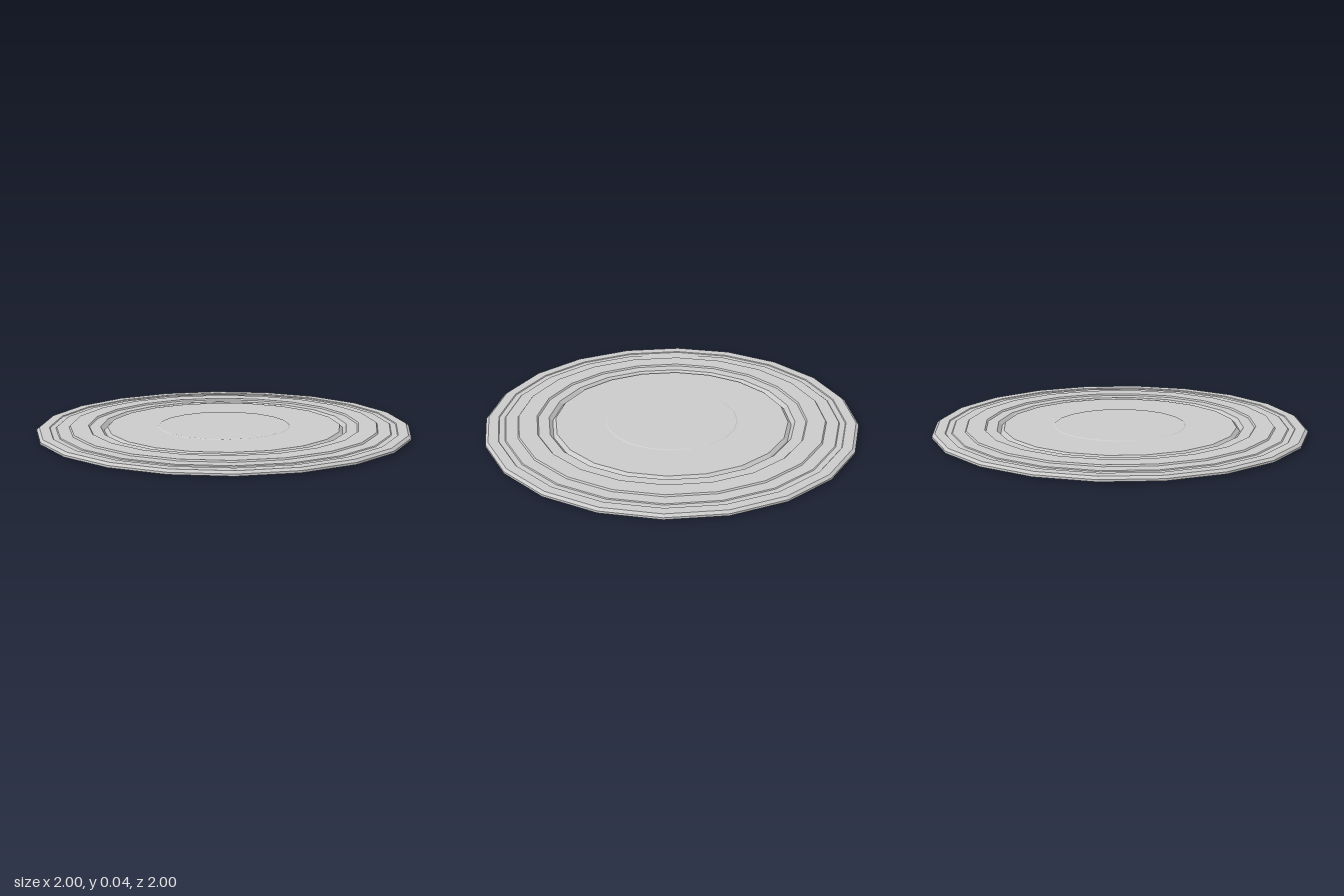
import * as THREE from 'three';

const SIDES = 20;

export function createModel() {
  const group = new THREE.Group();
  const material = new THREE.MeshStandardMaterial({ color: 0xcccccc, flatShading: true });

  // Turns a run of [radius, height] points, going from the underside outward and over the top
  const turn = (name, profile) => {
    const points = profile.map(([r, y]) => new THREE.Vector2(r, y));
    const mesh = new THREE.Mesh(new THREE.LatheGeometry(points, SIDES), material);
    mesh.name = name;
    group.add(mesh);
  };

  // Flat foot with a shallow trough around it
  turn('underside', [
    [0, 0], [0.645, 0], [0.66, 0.018], [0.715, 0.018], [0.73, 0.003], [0.965, 0.003],
  ]);
  // Bevelled outer edge
  turn('outerEdge', [[0.965, 0.003], [1, 0.01], [1, 0.021], [0.985, 0.033]]);
  // Upper rim with a thin groove
  turn('rim', [
    [0.985, 0.033], [0.932, 0.033], [0.928, 0.029], [0.898, 0.029], [0.893, 0.033], [0.828, 0.033],
  ]);
  // Raised band
  turn('raisedBand', [[0.828, 0.033], [0.822, 0.041], [0.725, 0.041], [0.718, 0.033], [0.66, 0.033]]);
  // V-shaped groove around the middle
  turn('innerGroove', [[0.66, 0.033], [0.641, 0.014], [0.623, 0.032]]);
  // Middle panel with a slightly raised disc
  turn('centrePanel', [[0.623, 0.032], [0.355, 0.032], [0.35, 0.035], [0, 0.035]]);

  return group;
}
